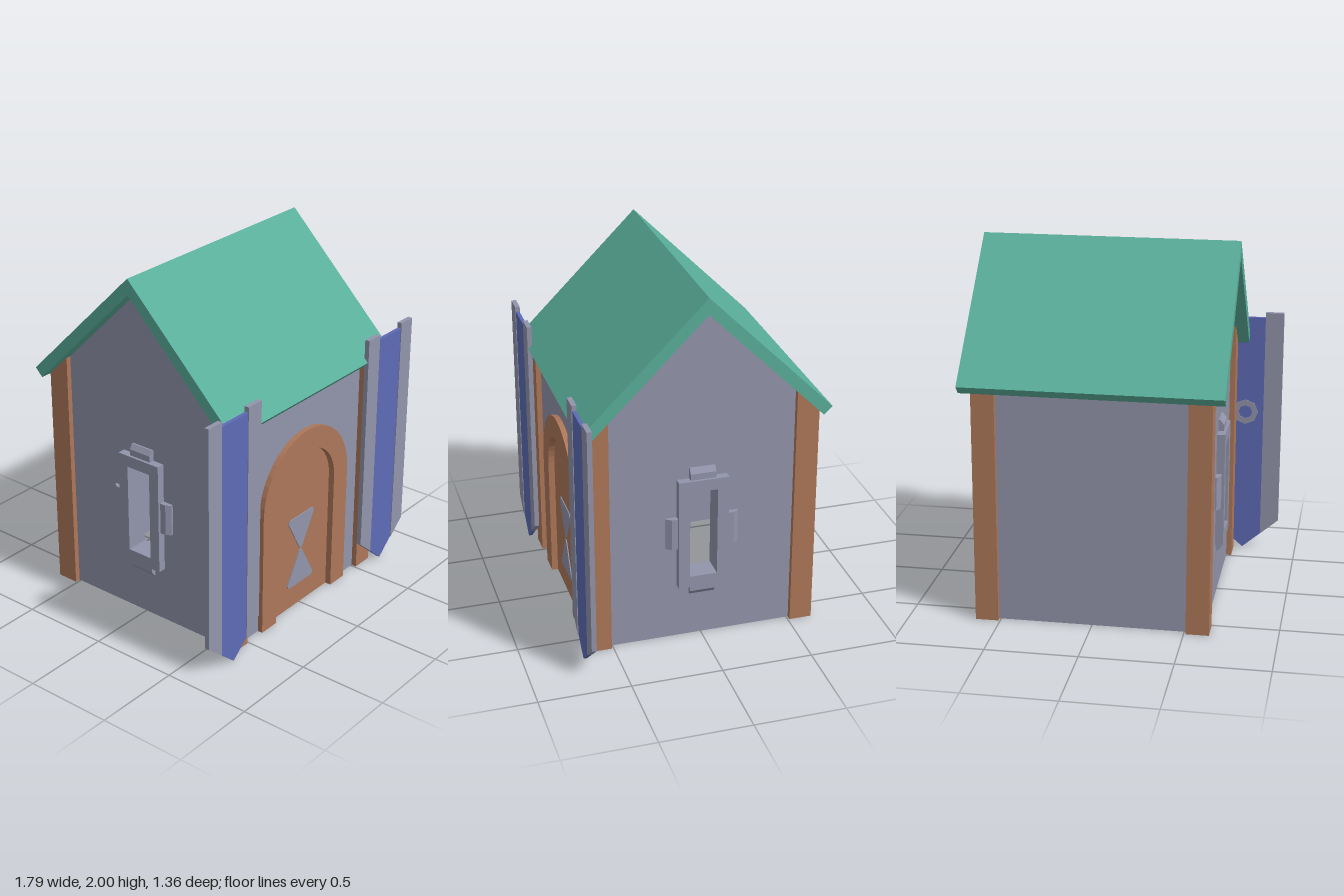
import * as THREE from 'three';

const material = (name, color) => {
  const m = new THREE.MeshStandardMaterial({ color });
  m.name = name;
  return m;
};

export function createModel() {
  const stone = material('grey stone', 0x9294aa);
  const wood = material('brown wood', 0xad7759);
  const tile = material('green roof', 0x5aae9a);
  const cloth = material('blue cloth', 0x5d6bb5);

  const house = new THREE.Group();
  house.name = 'house';

  const add = (name, geometry, mat, parent = house) => {
    const mesh = new THREE.Mesh(geometry, mat);
    mesh.name = name;
    parent.add(mesh);
    return mesh;
  };
  const shapeOf = (pts) => new THREE.Shape(pts.map(([x, y]) => new THREE.Vector2(x, y)));
  // Extrude an (x, y) shape between two z positions
  const alongZ = (shape, z0, z1) =>
    new THREE.ExtrudeGeometry(shape, { depth: z1 - z0, bevelEnabled: false, curveSegments: 12 }).translate(0, 0, z0);
  // Extrude a (-z, y) shape between two x positions
  const alongX = (shape, x0, x1) =>
    new THREE.ExtrudeGeometry(shape, { depth: x1 - x0, bevelEnabled: false }).rotateY(Math.PI / 2).translate(x0, 0, 0);
  const rectangle = (w, y0, y1) => shapeOf([[-w, y0], [w, y0], [w, y1], [-w, y1]]);

  // Roof: one folded slab
  add('roof', alongX(shapeOf([
    [0, 2], [-0.68, 1.32], [-0.635, 1.275], [0, 1.91], [0.635, 1.275], [0.68, 1.32],
  ]), -0.7, 0.7), tile);

  // Corner posts, cut to the roof slope
  for (const sx of [-1, 1]) for (const sz of [-1, 1]) {
    const profile = shapeOf([[0.51 * sz, 0], [0.635 * sz, 0], [0.635 * sz, 1.275], [0.51 * sz, 1.4]]);
    add('cornerPost', alongX(profile, sx > 0 ? 0.51 : -0.635, sx > 0 ? 0.635 : -0.51), wood);
  }

  // Back wall
  add('backWall', alongZ(rectangle(0.53, 0, 1.3), -0.605, -0.565), stone);

  // Arch points, from the right foot over to the left foot
  const archY = 0.705;
  const arch = (r) => {
    const pts = [[r, 0]];
    for (let i = 0; i <= 20; i++) {
      const a = (i / 20) * Math.PI;
      pts.push([r * Math.cos(a), archY + r * Math.sin(a)]);
    }
    pts.push([-r, 0]);
    return pts;
  };

  // Front wall, door frame and door
  add('frontWall', alongZ(shapeOf([
    [0.53, 0], [0.53, 1.3], [-0.53, 1.3], [-0.53, 0], ...arch(0.32).reverse(),
  ]), 0.565, 0.605), stone);
  add('doorFrame', alongZ(shapeOf([...arch(0.38), ...arch(0.255).reverse()]), 0.535, 0.635), wood);
  add('door', alongZ(shapeOf(arch(0.27)), 0.565, 0.6), wood);

  // Two blunt triangles on each face of the door
  for (const s of [-1, 1]) {
    const tri = shapeOf([
      [-0.01, 0.008], [0.01, 0.008], [0.115, 0.195], [0.105, 0.215], [-0.105, 0.215], [-0.115, 0.195],
    ].map(([x, y]) => [x, 0.347 + s * y]));
    add('doorEmblemFront', alongZ(tri, 0.598, 0.606), stone);
    add('doorEmblemBack', alongZ(tri, 0.559, 0.567), stone);
  }

  // Gable walls with framed windows
  for (const s of [-1, 1]) {
    const side = (a, b) => (s > 0 ? [a, b] : [-b, -a]);

    const gable = shapeOf([[-0.57, 0], [0.57, 0], [0.57, 1.34], [0, 1.91], [-0.57, 1.34]]);
    gable.holes.push(rectangle(0.1, 0.36, 0.92));
    add('gableWall', alongX(gable, ...side(0.565, 0.605)), stone);

    const windowGroup = new THREE.Group();
    windowGroup.name = 'window';
    house.add(windowGroup);
    const frame = rectangle(0.138, 0.32, 0.96);
    frame.holes.push(rectangle(0.076, 0.385, 0.895));
    add('windowFrame', alongX(frame, ...side(0.52, 0.65)), stone, windowGroup);

    // Rounded blocks on the four sides of the frame
    const block = (name, length, angle, y, z) => {
      const profile = shapeOf([[-0.05, 0], [0.05, 0], [0.05, 0.035], [0.03, 0.062], [-0.03, 0.062], [-0.05, 0.035]]);
      const g = alongZ(profile, -length / 2, length / 2).rotateX(angle);
      add(name, g, stone, windowGroup).position.set(s * 0.585, y, z);
    };
    block('topBlock', 0.14, 0, 0.96, 0);
    block('bottomBlock', 0.14, Math.PI, 0.32, 0);
    block('frontBlock', 0.18, Math.PI / 2, 0.648, 0.138);
    block('backBlock', 0.19, -Math.PI / 2, 0.64, -0.138);
  }

  // Hanging banners with side strips and a ring on the back
  for (const s of [-1, 1]) {
    const banner = new THREE.Group();
    banner.name = 'banner';
    banner.position.x = s * 0.685;
    house.add(banner);
    add('bannerCloth', alongZ(shapeOf([
      [0, 0], [0.105, 0.09], [0.105, 1.42], [-0.105, 1.42], [-0.105, 0.09],
    ]), 0.66, 0.68), cloth, banner);
    for (const e of [-1, 1]) {
      add('bannerStrip', alongZ(shapeOf([
        [e * 0.105, 0.09], [e * 0.21, 0.18], [e * 0.21, 1.45], [e * 0.105, 1.45],
      ]), 0.657, 0.684), stone, banner);
    }
    const polygon = (r) => Array.from({ length: 8 }, (_, i) => {
      const a = (i / 8) * Math.PI * 2;
      return [r * Math.cos(a), 0.85 + r * Math.sin(a)];
    });
    const ring = shapeOf(polygon(0.075));
    ring.holes.push(shapeOf(polygon(0.04)));
    add('bannerRing', alongZ(ring, 0.654, 0.662), stone, banner);
  }

  return house;
}
